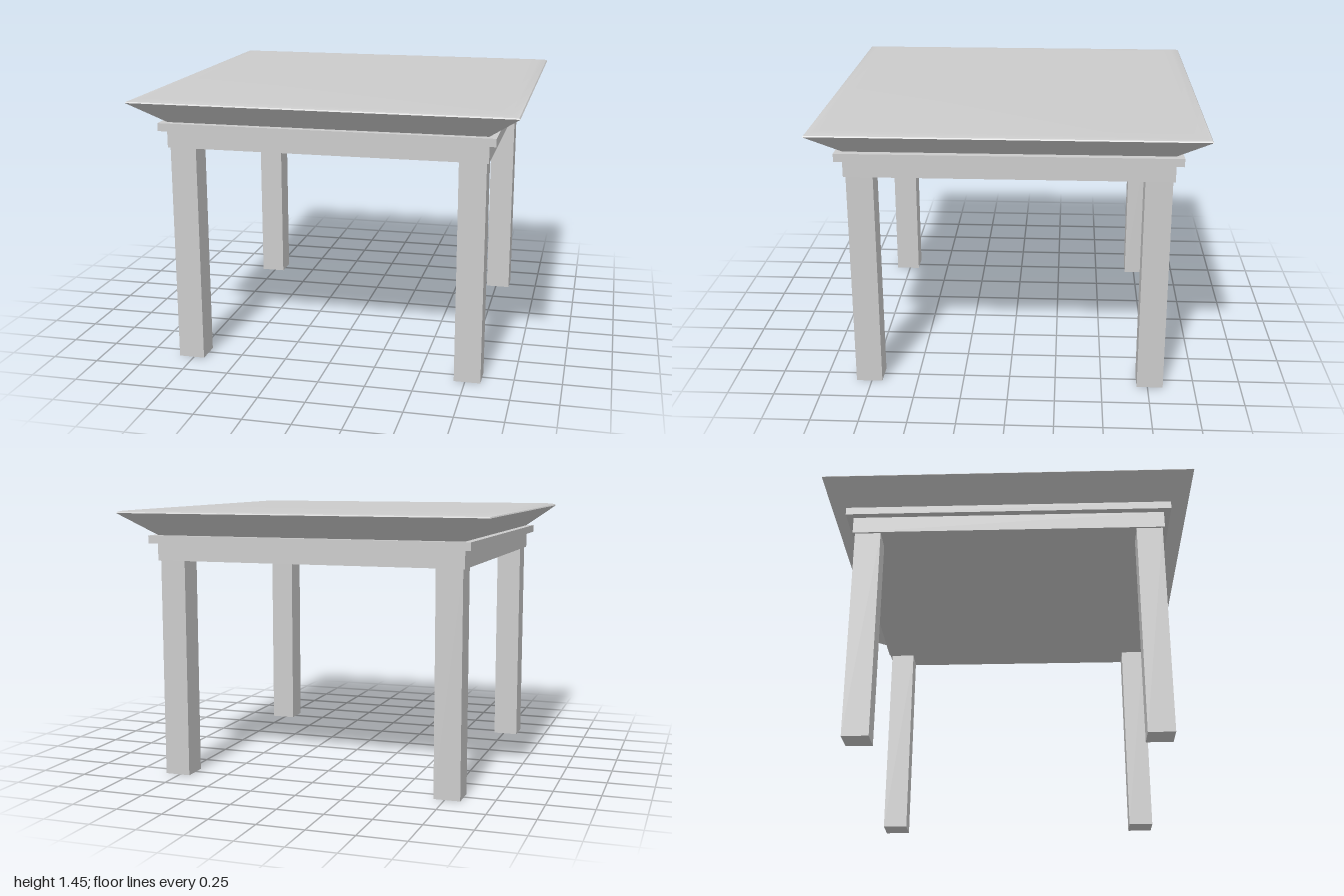
import * as THREE from 'three';
import { toCreasedNormals } from 'three/addons/utils/BufferGeometryUtils.js';

export function createModel() {
  const table = new THREE.Group();
  table.name = 'table';
  const material = new THREE.MeshStandardMaterial({ color: 0xcccccc });

  function add(name, geometry, x = 0, y = 0, z = 0) {
    const mesh = new THREE.Mesh(geometry, material);
    mesh.name = name;
    mesh.position.set(x, y, z);
    table.add(mesh);
  }

  // Square slab given by its half width and its bottom and top heights
  function slab(name, half, bottom, top) {
    add(name, new THREE.BoxGeometry(half * 2, top - bottom, half * 2), 0, (bottom + top) / 2, 0);
  }

  // Tabletop: flared underside, thin rim and softly domed border,
  // as [half width, height] turned into a four-sided solid
  const profile = [
    [0.84, 1.315], [1.0, 1.437], [0.995, 1.443], [0.98, 1.448],
    [0.95, 1.451], [0.9, 1.453], [0, 1.453],
  ].map(([half, y]) => new THREE.Vector2(half * Math.SQRT2, y));
  const top = new THREE.LatheGeometry(profile, 4);
  top.rotateY(Math.PI / 4);
  add('tabletop', toCreasedNormals(top, Math.PI / 6));

  // Moulding and apron under the top
  slab('moulding', 0.88, 1.273, 1.315);
  slab('apron', 0.843, 1.18, 1.273);

  // Four square legs
  const legGeometry = new THREE.BoxGeometry(0.14, 1.18, 0.14);
  for (const [xName, x] of [['Right', -0.762], ['Left', 0.762]]) {
    for (const [zName, z] of [['front', 0.762], ['back', -0.762]]) {
      add(zName + xName + 'Leg', legGeometry, x, 0.59, z);
    }
  }

  return table;
}
